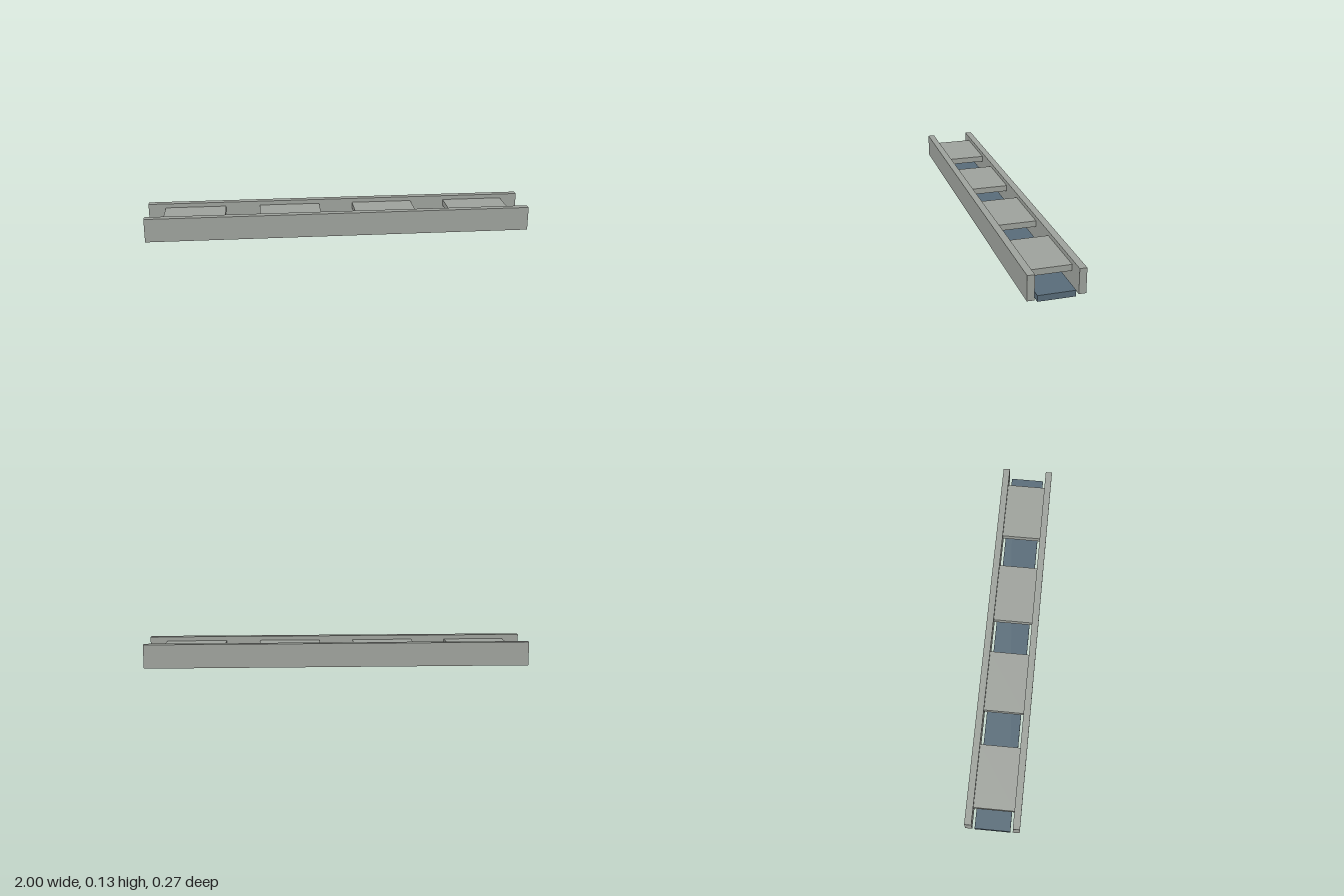
import * as THREE from 'three';

export function createModel() {
  const group = new THREE.Group();
  const concrete = new THREE.MeshStandardMaterial({ color: 0x9da19b });
  const water = new THREE.MeshStandardMaterial({ color: 0x586b78 });

  const addBox = (name, size, position, material) => {
    const mesh = new THREE.Mesh(new THREE.BoxGeometry(...size), material);
    mesh.name = name;
    mesh.position.set(...position);
    group.add(mesh);
  };

  // Strip along the channel bottom
  addBox('channelBed', [2, 0.03, 0.179], [0, 0.015, 0], water);

  // Long side walls
  for (const [name, side] of [['frontWall', 1], ['backWall', -1]]) {
    addBox(name, [2, 0.124, 0.035], [0, 0.071, side * 0.1195], concrete);
  }

  // Evenly spaced cover slabs between the walls
  for (let i = 0; i < 4; i++) {
    addBox(`coverSlab${i + 1}`, [0.32, 0.031, 0.206], [-0.75 + i * 0.5, 0.0955, 0], concrete);
  }

  return group;
}
